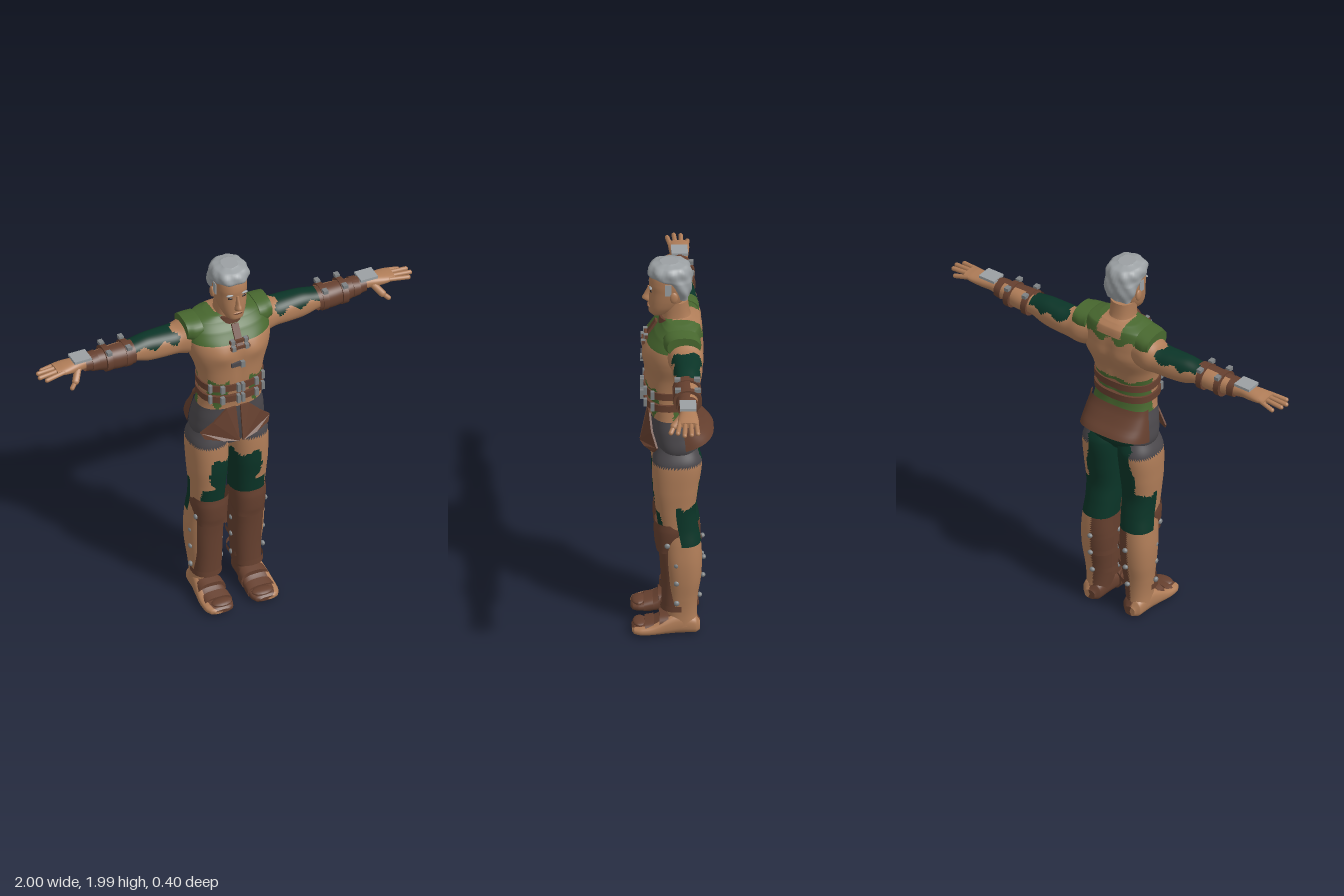
import * as THREE from 'three';

const mat = (name, color, side = THREE.FrontSide) => {
  const m = new THREE.MeshStandardMaterial({ color, side });
  m.name = name;
  return m;
};
const skin = mat('skin', 0xb07d58);
const leather = mat('leather', 0x66402f, THREE.DoubleSide);
const green = mat('vestGreen', 0x48682f);
const pine = mat('trouserGreen', 0x0b3528);
const shorts = mat('shortsGrey', 0x4b484c);
const hairGrey = mat('hairGrey', 0x9ba0a3);
const metal = mat('metal', 0x7d8183);
const dark = mat('eyeDark', 0x2c211c);
const PAINTS = [skin, leather, green, pine, shorts];
const [SKIN, LEATHER, GREEN, PINE, SHORTS] = [0, 1, 2, 3, 4];

// Ragged edge offset for worn cloth
const rag = (x, y, z) => 0.6 * Math.sin(61 * x + 17 * y) + 0.4 * Math.sin(73 * z + 41 * y + 2) * Math.cos(47 * x);
const MAPS = { y: (t, a, b) => [a, t, b], x: (t, a, b) => [t, b, a], z: (t, a, b) => [b, a, t] };

// Smooth loft through rings [t, aMin, aMax, bMin, bMax]; paint() picks a colour for each face
function loft(rings, { axis = 'y', seg = 32, sub = 4, p = 2.3, arc = null, paint = null, deform = null } = {}) {
  rings = [...rings].sort((r, s) => r[0] - s[0]);
  const [a0, a1] = arc || [0, Math.PI * 2];
  const pos = [], buckets = PAINTS.map(() => []), rows = (rings.length - 1) * sub + 1, w = seg + 1;
  const at = i => rings[Math.max(0, Math.min(rings.length - 1, i))];
  const info = [];
  for (let i = 0; i < rows; i++) {
    const k = Math.min(Math.floor(i / sub), rings.length - 2), u = i / sub - k;
    const r = rings[0].map((_, n) => {
      const [A, B, C, D] = [at(k - 1)[n], at(k)[n], at(k + 1)[n], at(k + 2)[n]];
      if (n === 0) return B + (C - B) * u;
      return B + 0.5 * u * (C - A + u * (2 * A - 5 * B + 4 * C - D + u * (3 * (B - C) + D - A)));
    });
    for (let j = 0; j <= seg; j++) {
      const th = a0 + (a1 - a0) * j / seg, c = Math.cos(th), s = Math.sin(th);
      const ca = Math.sign(c) * Math.abs(c) ** (2 / p), sa = Math.sign(s) * Math.abs(s) ** (2 / p);
      const v = MAPS[axis](r[0], (r[1] + r[2]) / 2 + ca * (r[2] - r[1]) / 2, (r[3] + r[4]) / 2 + sa * (r[4] - r[3]) / 2);
      if (deform) deform(v);
      pos.push(...v);
      info.push([ca, sa]);
    }
  }
  const P = i => pos.slice(i * 3, i * 3 + 3);
  const face = (a, b, c) => {
    const [A, B, C] = [P(a), P(b), P(c)], m = [0, 1, 2].map(n => (A[n] + B[n] + C[n]) / 3);
    const q = [0, 1].map(n => (info[a][n] + info[b][n] + info[c][n]) / 3);
    buckets[paint ? paint(...m, ...q) : 0].push(a, b, c);
  };
  for (let i = 0; i < rows - 1; i++) for (let j = 0; j < seg; j++) {
    const a = i * w + j, b = arc || j < seg - 1 ? a + 1 : i * w, c = a + w, d = b + w;
    face(a, c, b);
    face(b, c, d);
  }
  if (!arc) for (const end of [0, 1]) {
    const from = end ? (rows - 1) * w : 0, base = pos.length / 3, mid = [0, 0, 0];
    for (let j = 0; j < seg; j++) {
      const v = P(from + j);
      pos.push(...v);
      info.push(info[from + j]);
      v.forEach((n, k) => { mid[k] += n / seg; });
    }
    pos.push(...mid);
    info.push([0, 0]);
    for (let j = 0; j < seg; j++) {
      const a = base + j, b = base + (j + 1) % seg;
      end ? face(base + seg, b, a) : face(base + seg, a, b);
    }
  }
  const g = new THREE.BufferGeometry();
  g.setAttribute('position', new THREE.Float32BufferAttribute(pos, 3));
  g.setIndex(buckets.flat());
  let start = 0;
  if (paint) buckets.forEach((f, i) => { if (f.length) g.addGroup(start, f.length, i); start += f.length; });
  g.computeVertexNormals();
  return g;
}

const box = (w, h, d, x, y, z, rx = 0) => new THREE.BoxGeometry(w, h, d).rotateX(rx).translate(x, y, z);
const ball = (rx, ry, rz, x, y, z) => new THREE.SphereGeometry(1, 14, 10).scale(rx, ry, rz).translate(x, y, z);
// Rounded rod between two points
function rod(p, q, r) {
  const A = new THREE.Vector3(...p), B = new THREE.Vector3(...q), d = B.clone().sub(A);
  const g = new THREE.CapsuleGeometry(r, d.length(), 4, 10);
  g.applyQuaternion(new THREE.Quaternion().setFromUnitVectors(new THREE.Vector3(0, 1, 0), d.normalize()));
  return g.translate(...A.add(B).multiplyScalar(0.5).toArray());
}
function mirrored(src) {
  const g = src.clone().applyMatrix4(new THREE.Matrix4().makeScale(-1, 1, 1));
  const ix = g.index ? Array.from(g.index.array) : Array.from({ length: g.attributes.position.count }, (_, i) => i);
  for (let i = 0; i < ix.length; i += 3) [ix[i + 1], ix[i + 2]] = [ix[i + 2], ix[i + 1]];
  g.setIndex(ix);
  g.computeVertexNormals();
  return g;
}

export function createModel() {
  const root = new THREE.Group();
  root.name = 'warrior';
  const add = (name, geo, m) => {
    const mesh = new THREE.Mesh(geo, m);
    mesh.name = name;
    root.add(mesh);
  };
  const pair = (name, geo, m) => {
    add(name + 'Left', geo, m);
    add(name + 'Right', mirrored(geo), m);
  };

  // Torso with painted vest, waist cloth and shorts
  const trunk = [[.93, .08, -.08, .07], [1, .18, -.135, .09], [1.1, .182, -.13, .108], [1.2, .162, -.1, .112], [1.3, .157, -.095, .13],
    [1.4, .172, -.115, .138], [1.5, .205, -.15, .142], [1.57, .212, -.15, .128], [1.63, .2, -.145, .09], [1.67, .175, -.135, .055], [1.69, .11, -.11, .04], [1.7, .06, -.09, .03]];
  add('torso', loft(trunk.map(([y, h, b, f]) => [y, -h, h, b, f]), {
    seg: 96, sub: 9, p: 2.4,
    deform: v => {
      const [x, y, z] = v, ax = Math.abs(x);
      if (z > 0.03) v[2] += .014 * Math.exp(-(((ax - .085) / .06) ** 2) - ((y - 1.52) / .05) ** 2) - .006 * Math.exp(-((x / .02) ** 2) - ((y - 1.45) / .12) ** 2);
      if (z < -.03) v[2] += .016 * Math.exp(-((x / .03) ** 2) - ((y - 1.42) / .15) ** 2);
    },
    paint: (x, y, z) => {
      const n = rag(x, y, z), ax = Math.abs(x);
      if (y > (z > 0 ? 1.575 : 1.605 + .025 * n)) return ax < .07 && z < 0 && y > 1.63 ? SKIN : GREEN;
      if (y < 1.18) return z < -.06 && ax < .13 ? PINE : SHORTS;
      if (y < 1.36 + .015 * n && z < 0) return GREEN;
      if (y < 1.35 + .015 * n && Math.abs(ax - .1) < .045 * (y < 1.24 ? (y - 1.17) / .07 : 1)) return GREEN;
      return SKIN;
    } }), PAINTS);
  pair('shoulderCap', loft([[.15, -.13, .05, 1.57, 1.685], [.19, -.135, .045, 1.565, 1.682], [.225, -.13, .03, 1.575, 1.68]], { axis: 'x', p: 2.4 }), green);

  // Neck, head and face
  add('neck', loft([[1.6, -.085, .085, -.12, .05], [1.66, -.07, .07, -.105, .052], [1.71, -.062, .062, -.085, .05], [1.78, -.062, .062, -.075, .05]]), skin);
  const head = [[1.698, .026, .045, .1], [1.715, .045, .01, .115], [1.75, .062, -.03, .116], [1.79, .072, -.06, .115], [1.84, .078, -.078, .112], [1.88, .08, -.082, .114], [1.93, .075, -.08, .1], [1.97, .04, -.04, .06]];
  add('head', loft(head.map(([y, h, b, f]) => [y, -h, h, b, f]), { sub: 5 }), skin);
  add('nose', loft([[1.77, -.017, .017, .09, .126], [1.785, -.018, .018, .09, .148], [1.81, -.011, .011, .09, .137], [1.85, -.009, .009, .09, .12]], { seg: 16, p: 2 }), skin);
  add('lips', ball(.026, .008, .008, 0, 1.748, .113), skin);
  add('mouthLine', box(.04, .003, .004, 0, 1.75, .121), leather);
  pair('ear', ball(.011, .03, .02, .082, 1.825, -.005), skin);
  pair('eye', ball(.014, .006, .006, .034, 1.84, .104), dark);
  pair('brow', ball(.022, .006, .008, .036, 1.86, .106), hairGrey);
  const hair = [[1.8, .066, -.08, -.02], [1.85, .085, -.093, 0], [1.895, .089, -.096, .04], [1.918, .09, -.096, .112], [1.95, .092, -.09, .116], [1.975, .076, -.072, .098], [1.988, .04, -.03, .06]];
  add('hair', loft(hair.map(([y, h, b, f]) => [y, -h, h, b, f]), {
    seg: 48, sub: 5,
    deform: v => {
      const k = 1 + .035 * Math.sin(9 * Math.atan2(v[0], v[2]) + 55 * v[1]);
      v[0] *= k;
      v[2] *= k;
    } }), hairGrey);
  pair('sideburn', box(.008, .06, .03, .079, 1.865, .022), hairGrey);

  // Collar and chest fastenings
  add('collar', loft([[1.655, -.08, .08, -.1, .068], [1.69, -.072, .072, -.09, .062]]), leather);
  add('collarStrap', box(.036, .13, .012, 0, 1.605, .112, -.55), leather);
  for (const y of [1.59, 1.56]) {
    add('chestClasp', box(.1, .016, .016, 0, y, y > 1.57 ? .128 : .142), leather);
    pair('claspStud', box(.02, .024, .022, .035, y, y > 1.57 ? .13 : .143), metal);
  }
  add('chestBuckle', box(.07, .022, .016, -.015, 1.465, .146), shorts);
  add('chestBuckleStud', box(.02, .034, .02, .01, 1.46, .147), metal);

  // Belts with buckles
  for (const y of [1.32, 1.255]) {
    add('belt', loft([[y - .018, -.168, .168, -.108, .142], [y + .018, -.168, .168, -.108, .142]], { seg: 48, sub: 1, p: 2.4 }), leather);
    for (const x of [-.012, .012]) add('beltBuckle', box(.016, .046, .02, x, y, .147), metal);
    pair('beltSideBuckle', box(.02, .04, .018, .09, y, .134), metal);
    pair('beltLoop', box(.016, .042, .02, .14, y, .1), metal);
  }

  // Flared back skirt and two front flaps
  add('backSkirt', loft([[1.2, -.165, .165, -.108, .03], [1.13, -.18, .18, -.155, .05], [1.07, -.188, .188, -.2, .08]], {
    arc: [Math.PI, Math.PI * 2], sub: 4, p: 2.6, deform: v => { v[1] -= Math.max(0, (v[2] + .2) * .3) * (1.2 - v[1]) / .13; } }), leather);
  const flap = new THREE.Shape([[.012, 1.185], [.06, 1.18], [.125, 1.11], [.185, 1.05], [.17, 1.02], [.09, 1.012], [.008, 1]].map(c => new THREE.Vector2(...c)));
  const flapGeo = new THREE.ExtrudeGeometry(flap, { depth: .01, bevelEnabled: false });
  const fp = flapGeo.attributes.position;
  for (let i = 0; i < fp.count; i++) fp.setZ(i, fp.getZ(i) + .112 + (1.185 - fp.getY(i)) * .2 - 1.9 * fp.getX(i) ** 2);
  flapGeo.computeVertexNormals();
  pair('frontFlap', flapGeo, leather);

  // Arms with torn sleeves
  const arm = [[.12, -.13, .03, 1.48, 1.65], [.2, -.145, .03, 1.475, 1.65], [.26, -.14, .015, 1.485, 1.628], [.34, -.135, .01, 1.485, 1.628], [.42, -.125, .005, 1.49, 1.628],
    [.5, -.115, 0, 1.515, 1.615], [.58, -.115, 0, 1.508, 1.615], [.66, -.105, -.01, 1.522, 1.61], [.74, -.095, -.02, 1.542, 1.605], [.8, -.1, -.01, 1.545, 1.605], [.86, -.105, -.003, 1.555, 1.6], [.9, -.1, -.008, 1.566, 1.594]];
  pair('arm', loft(arm, { axis: 'x', seg: 48, sub: 7, p: 2.2,
    paint: (x, y, z, ca, sa) => x > .275 + .025 * rag(z, x, y) && x < .5 && sa > .4 + .25 * rag(x, z, y) ? PINE : SKIN }), PAINTS);
  pair('bracer', loft([[.49, -.122, .01, 1.503, 1.622], [.58, -.122, .008, 1.498, 1.622], [.66, -.112, -.002, 1.512, 1.617], [.75, -.1, -.01, 1.532, 1.612]], { axis: 'x', arc: [-1.75, 1.75], p: 2.2 }), leather);
  for (const [x, lo] of [[.525, 1.497], [.63, 1.502]]) {
    pair('bracerStrap', loft([[x - .015, -.126, .014, lo, 1.626], [x + .015, -.126, .014, lo, 1.626]], { axis: 'x', sub: 1, p: 2.2 }), leather);
    for (const z of [-.105, -.01]) pair('bracerBuckle', box(.024, .018, .03, x, 1.622, z), metal);
  }
  pair('wristCuff', loft([[.68, -.108, 0, 1.52, 1.615], [.715, -.106, -.002, 1.526, 1.612]], { axis: 'x', sub: 1 }), leather);
  pair('wristPlate', box(.09, .014, .08, .765, 1.612, -.055), hairGrey);

  // Fingers and thumb
  [[-.092, .95], [-.067, .982], [-.04, .988], [-.014, .965]].forEach(([z, tip], i) =>
    pair('finger' + (i + 1), rod([.87, 1.58, z], [tip, 1.572 - (i === 0 ? .012 : 0), z * 1.25 + .017], .0115), skin));
  pair('thumbBase', rod([.79, 1.565, -.025], [.82, 1.53, .015], .018), skin);
  pair('thumb', rod([.82, 1.53, .015], [.845, 1.507, .03], .012), skin);

  // Legs: torn trousers and boots on the inner side, bare skin outside
  const leg = [[1.04, .02, .17, -.11, .08], [.95, .006, .204, -.14, .1], [.8, .01, .204, -.125, .1], [.68, .018, .196, -.11, .085], [.58, .022, .192, -.122, .072], [.5, .027, .198, -.135, .055],
    [.4, .027, .204, -.14, .045], [.3, .033, .2, -.135, .035], [.2, .043, .188, -.12, .028], [.12, .053, .18, -.115, .03], [.05, .06, .18, -.118, .035]];
  pair('leg', loft(leg, { seg: 56, sub: 9,
    paint: (x, y, z, ca, sa) => {
      const n = rag(x, y, z);
      if (y < .5) return ca < -.05 || y < .1 && z > 0 ? LEATHER : SKIN;
      if (sa < 0 && ca < .3 + .2 * n) return PINE;
      if (y > .94) return SHORTS;
      if (sa < 0 && y < .72 + .02 * n) return PINE;
      return y < .85 + .03 * n && ca < (y < .68 ? .6 : y < .76 ? .1 : .35) + .25 * n ? PINE : SKIN;
    } }), PAINTS);

  // Greaves and knee guards
  pair('greave', loft([[.14, .035, .178, -.1, .055], [.25, .03, .178, -.11, .057], [.38, .026, .186, -.12, .064], [.5, .022, .186, -.12, .075]], { arc: [-.05, Math.PI + .4] }), leather);
  pair('kneeGuard', loft([[.455, .025, .175, -.02, .082], [.5, .016, .186, -.09, .09], [.57, .008, .194, -.12, .094], [.615, .006, .19, -.1, .09]], { arc: [-.1, Math.PI + .1] }), leather);
  pair('kneeStud', ball(.01, .014, .014, .186, .505, .03), metal);
  for (const [y, back] of [[.4, -.143], [.3, -.14], [.19, -.124]]) {
    pair('bootStrap', loft([[y - .013, .022, .19, back, .04], [y + .013, .022, .19, back, .04]], { sub: 1, arc: [Math.PI / 2, Math.PI * 1.5] }), leather);
    pair('sideStud', ball(.011, .014, .014, .193, y, -.015), metal);
    pair('backStud', ball(.014, .012, .012, .105, y, back - .005), metal);
    pair('innerStud', ball(.008, .013, .013, .025, y, -.02), metal);
  }
  pair('ankleBand', loft([[.135, .035, .185, -.1, .062], [.165, .035, .185, -.1, .06]], { sub: 1, arc: [-.2, Math.PI + .3] }), leather);

  // Feet: bare outside, sandal over the top and inner side
  const foot = [[-.13, .012, .06, .09, .15], [-.11, .003, .095, .068, .172], [-.03, .002, .125, .058, .182], [.04, .002, .1, .05, .192], [.1, .002, .066, .046, .198], [.16, .002, .052, .048, .195], [.19, .006, .044, .06, .18], [.2, .014, .034, .08, .16]];
  pair('foot', loft(foot, { axis: 'z', sub: 6, p: 2.6, paint: (x, y, z, ca, sa) => sa < .1 || ca > .1 && z > -.02 && sa < .6 ? LEATHER : SKIN }), PAINTS);
  for (const [z, top] of [[.045, .108], [.115, .07]])
    pair('sandalBand', loft([[z - .022, 0, top + .006, .044, .185], [z + .022, 0, top - .004, .042, .188]], { axis: 'z', sub: 1, p: 2.6 }), leather);
  pair('toeGuard', ball(.055, .014, .034, .108, .05, .162), leather);
  return root;
}
